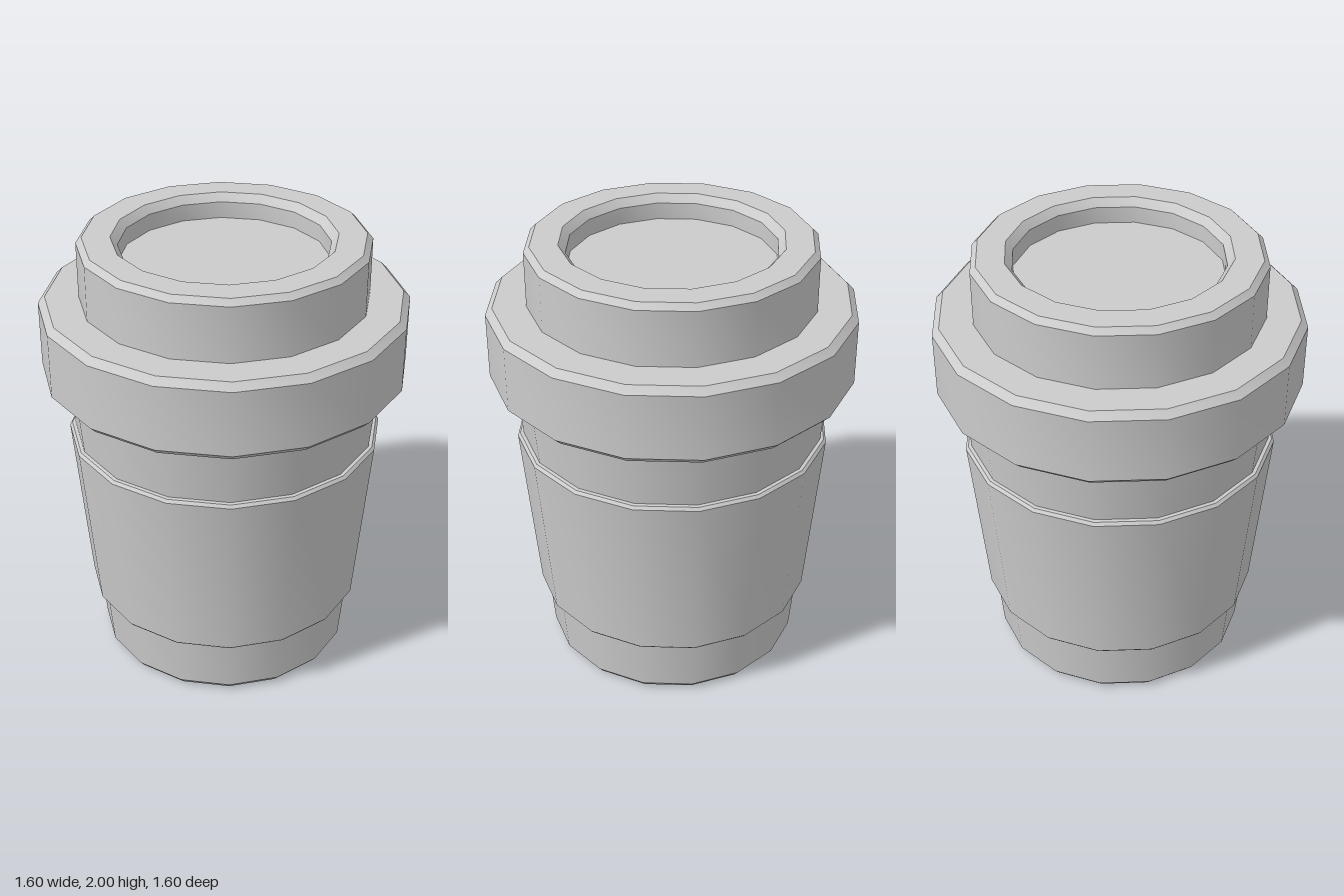
import * as THREE from 'three';
import { toCreasedNormals } from 'three/addons/utils/BufferGeometryUtils.js';

const SIDES = 16;

// Revolves a [radius, height] profile; smooth around, sharp at the bevels
function turned(name, profile, material) {
  const points = profile.map(([r, y]) => new THREE.Vector2(r, y));
  const geometry = toCreasedNormals(new THREE.LatheGeometry(points, SIDES), Math.PI / 6);
  const mesh = new THREE.Mesh(geometry, material);
  mesh.name = name;
  return mesh;
}

export function createModel() {
  const group = new THREE.Group();
  group.name = 'takeawayCup';
  const material = new THREE.MeshStandardMaterial({ color: 0xcccccc, side: THREE.DoubleSide });

  // Tapered cup with a bevelled foot
  group.add(turned('cupBody', [
    [0, 0], [0.55, 0], [0.575, 0.03], [0.697, 1.4],
  ], material));

  // Grip sleeve wrapped around the cup
  group.add(turned('sleeve', [
    [0.595, 0.283], [0.617, 0.283], [0.627, 0.296],
    [0.697, 1.09], [0.686, 1.103], [0.668, 1.105],
  ], material));

  // Wide lid rim, bevelled above and below
  group.add(turned('lidRim', [
    [0.6, 1.38], [0.77, 1.38], [0.8, 1.41], [0.8, 1.7], [0.77, 1.73], [0.6, 1.73],
  ], material));

  // Raised lid top with a sunken drinking well
  group.add(turned('lidTop', [
    [0.625, 1.72], [0.625, 1.975], [0.6, 2], [0.48, 2],
    [0.45, 1.965], [0.45, 1.89], [0, 1.89],
  ], material));

  return group;
}
